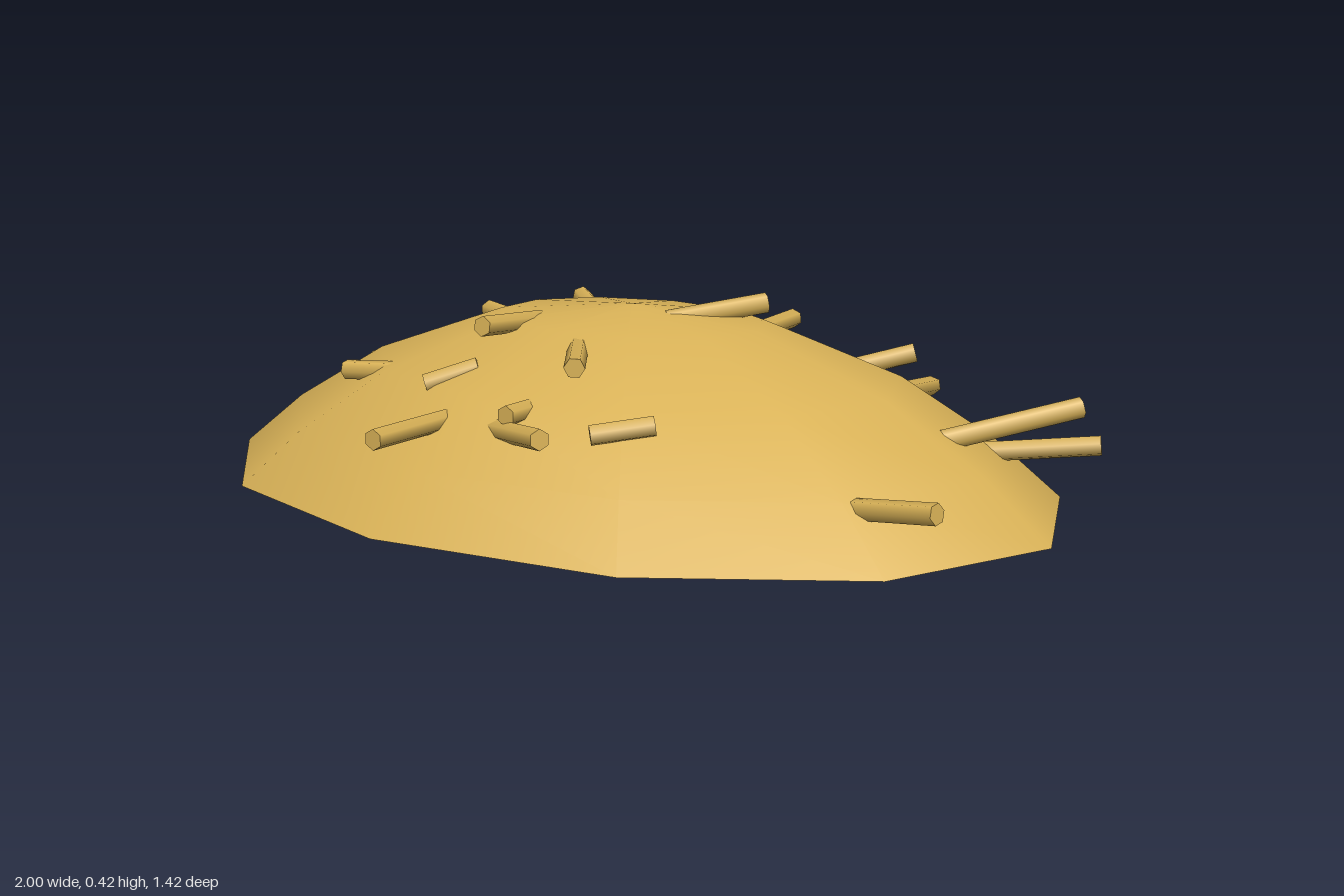
import * as THREE from 'three';

const SIDES = 11;
const DEPTH = 0.715; // z radius of the mound relative to its x radius

export function createModel() {
  const group = new THREE.Group();
  const hay = new THREE.MeshStandardMaterial({ color: 0xd9b257 });
  hay.name = 'hay';

  const add = (name, geometry) => {
    const mesh = new THREE.Mesh(geometry, hay);
    mesh.name = name;
    group.add(mesh);
    return mesh;
  };

  // Mound: smooth eleven-sided oval dome
  const profile = [[1, 0], [0.85, 0.12], [0.63, 0.25], [0.32, 0.36], [0, 0.39]]
    .map(([r, y]) => new THREE.Vector2(r, y));
  add('mound', new THREE.LatheGeometry(profile, SIDES, Math.PI / 2).scale(1, 1, DEPTH));

  // Flat underside
  add('moundBase', new THREE.CircleGeometry(1, SIDES).rotateX(Math.PI / 2).scale(1, 1, DEPTH));

  // Loose straws: outer tip, then the point where each enters the mound
  const straws = [
    [[-0.98, 0.105, -0.39], [-0.87, 0.07, -0.17]],
    [[0.95, 0.135, -0.34], [0.72, 0.11, -0.24]],
    [[0.93, 0.225, -0.28], [0.72, 0.165, -0.09]],
    [[0.92, 0.13, 0.335], [0.74, 0.105, 0.3]],
    [[0.38, 0.23, -0.59], [0.2, 0.175, -0.48]],
    [[0.44, 0.165, -0.56], [0.47, 0.185, -0.41]],
    [[0.12, 0.3, -0.48], [0.14, 0.3, -0.3]],
    [[-0.13, 0.3, -0.31], [-0.22, 0.3, -0.32]],
    [[-0.31, 0.345, -0.24], [-0.24, 0.335, -0.18]],
    [[-0.44, 0.325, -0.06], [-0.36, 0.325, -0.02]],
    [[-0.77, 0.175, -0.03], [-0.7, 0.185, -0.05]],
    [[-0.56, 0.23, 0.3], [-0.48, 0.235, 0.29]],
    [[-0.25, 0.25, 0.4], [-0.2, 0.27, 0.36]],
    [[-0.16, 0.37, 0.32], [-0.17, 0.355, 0.15]],
    [[0.25, 0.395, -0.15], [0.13, 0.37, -0.03]],
    [[0.13, 0.325, 0.39], [0.05, 0.33, 0.27]],
    [[0.04, 0.235, 0.5], [0.04, 0.235, 0.43]],
    [[0.17, 0.215, 0.56], [0.03, 0.2, 0.49]],
    [[0.24, 0.22, 0.49], [0.3, 0.23, 0.44]],
    [[-0.14, 0.2, 0.695], [-0.14, 0.2, 0.48]],
  ];
  const up = new THREE.Vector3(0, 1, 0);
  straws.forEach(([outer, inner], i) => {
    const tip = new THREE.Vector3(...outer);
    const axis = tip.clone().sub(new THREE.Vector3(...inner));
    const length = axis.length() + 0.05; // buried end
    axis.normalize();
    const straw = add('straw' + (i + 1), new THREE.CylinderGeometry(0.022, 0.022, length, 6));
    straw.quaternion.setFromUnitVectors(up, axis);
    straw.position.copy(tip).addScaledVector(axis, -length / 2);
  });

  return group;
}
